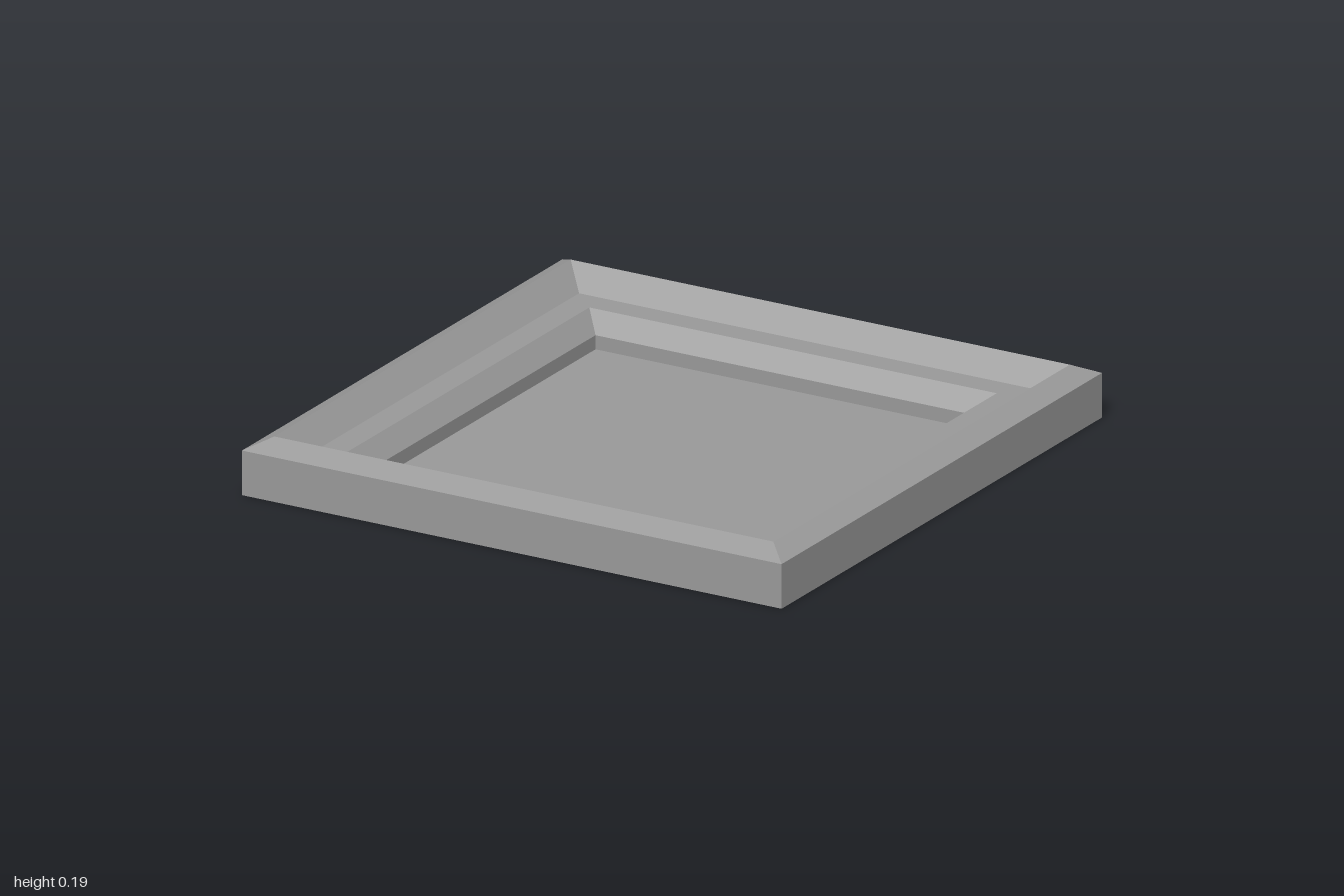
import * as THREE from 'three';

const grey = new THREE.MeshStandardMaterial({ color: 0x9a9a9a });
grey.name = 'grey';

// Square loft: profile points are [half width, height], running bottom, outside, top, inside.
function squareLoft(name, profile) {
  const points = profile.map(([half, y]) => new THREE.Vector2(half * Math.SQRT2, y));
  const geometry = new THREE.LatheGeometry(points, 4, Math.PI / 4).toNonIndexed();
  geometry.computeVertexNormals(); // crisp flat facets
  const mesh = new THREE.Mesh(geometry, grey);
  mesh.name = name;
  return mesh;
}

export function createModel() {
  const model = new THREE.Group();
  model.name = 'squareTray';

  // Underside, outer walls and the peaked rim
  model.add(squareLoft('outerFrame', [
    [0, 0], [1, 0], [1, 0.152], [0.925, 0.19], [0.848, 0.115],
  ]));

  // Flat step, lower bevel and upright wall around the recess
  model.add(squareLoft('innerLedge', [
    [0.848, 0.115], [0.755, 0.115], [0.698, 0.05], [0.698, 0.002],
  ]));

  // Recessed floor panel
  const floor = new THREE.Mesh(new THREE.PlaneGeometry(1.396, 1.396), grey);
  floor.name = 'floorPanel';
  floor.rotation.x = -Math.PI / 2;
  floor.position.y = 0.002;
  model.add(floor);

  return model;
}
